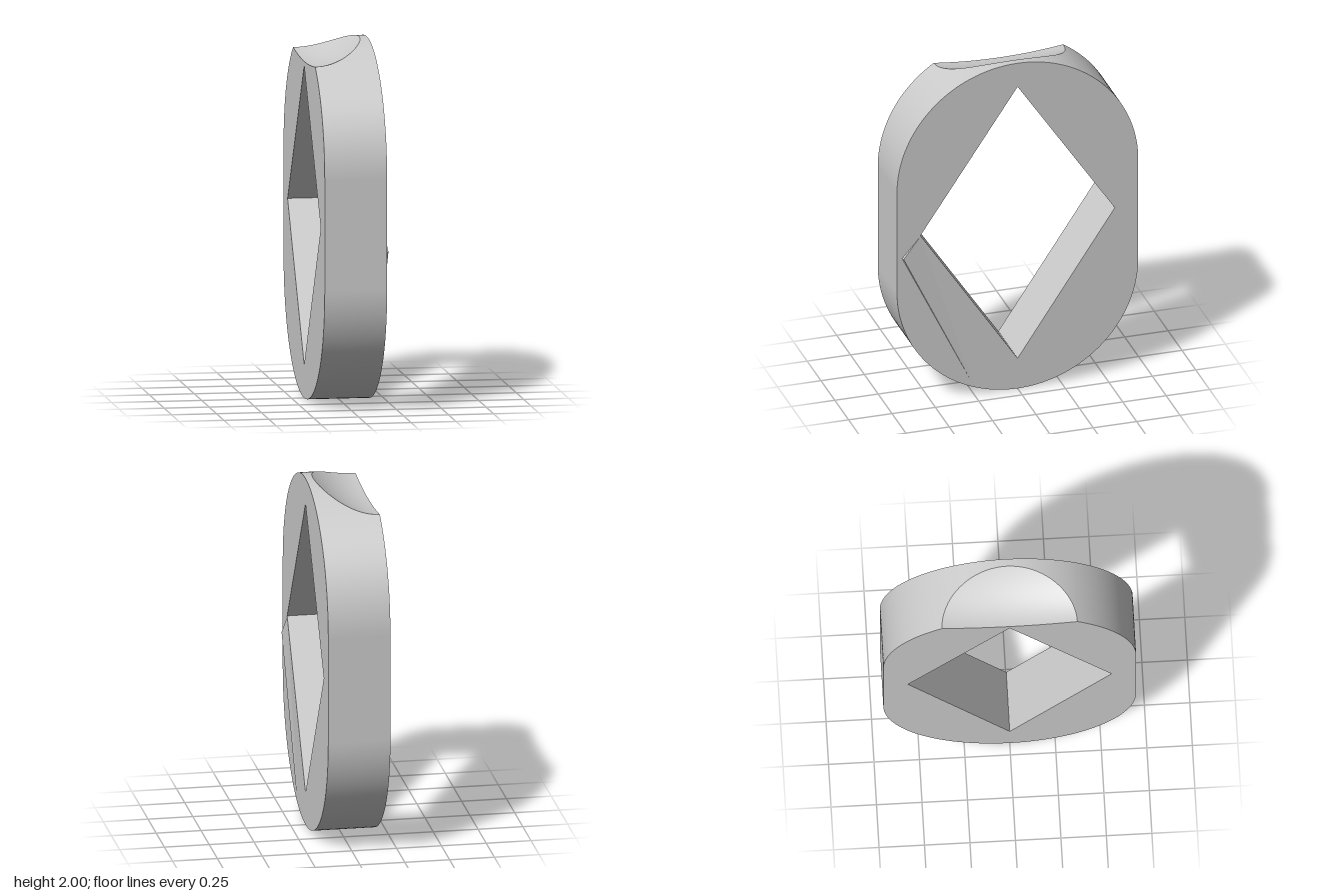
import * as THREE from 'three';

const XB = -0.18, XF = 0.167;            // the two flat faces
const R = 0.695, YT = 1.305, YB = 0.695; // rounded ends
const SX = 0.305, SZ = 0.372, SY = 1.868; // scoop half-axes and deepest height

const archY = (z) => YT + Math.sqrt(R * R - z * z);
// x where the scoop's rim meets the outer wall
const rimX = (z) => XB + SX * Math.sqrt(Math.max(0, 1 - (z / SZ) ** 2));
// height of the scoop floor: a bowl blended from its low point to its rim
function scoopY(x, z) {
  const a = (x - XB) / SX, b = z / SZ, s = Math.hypot(a, b);
  if (s < 1e-6) return SY;
  return SY + (archY(SZ * b / s) - SY) * s * s;
}

// Surface through rows of points
function loft(rows, flat = false) {
  const n = rows[0].length, index = [];
  for (let j = 0; j < rows.length - 1; j++)
    for (let i = 0; i < n - 1; i++) {
      const a = j * n + i, b = a + n;
      index.push(a, b, a + 1, b, b + 1, a + 1);
    }
  let g = new THREE.BufferGeometry();
  g.setAttribute('position', new THREE.Float32BufferAttribute(rows.flat(2), 3));
  g.setIndex(index);
  if (flat) g = g.toNonIndexed();
  g.computeVertexNormals();
  return g;
}

// Outline as [u, y] with u = -z, counter-clockwise seen from +x
function outline() {
  const pts = [], a0 = Math.acos(SZ / R), N = 24;
  for (let i = 0; i < N; i++) {
    const a = a0 * i / N;
    pts.push([R * Math.cos(a), YT + R * Math.sin(a)]);
  }
  for (let i = 0; i <= 40; i++) {
    const u = SZ * Math.cos(Math.PI * i / 40);
    pts.push([u, archY(u), true]);
  }
  for (let i = 1; i <= N; i++) {
    const a = Math.PI - a0 + a0 * i / N;
    pts.push([R * Math.cos(a), YT + R * Math.sin(a)]);
  }
  for (let i = 0; i <= 64; i++) {
    const a = Math.PI * (1 + i / 64);
    pts.push([R * Math.cos(a), YB + R * Math.sin(a)]);
  }
  return pts;
}

const diamond = (top) => [[0.56, 1.025], [0, 0.185], [-0.56, 1.025], [0, top]];

function faceGeometry(pts, hole) {
  const v = (p) => new THREE.Vector2(p[0], p[1]);
  const shape = new THREE.Shape(pts.map(v));
  shape.holes.push(new THREE.Path(hole.map(v)));
  return new THREE.ShapeGeometry(shape);
}

export function createModel() {
  const group = new THREE.Group();
  const material = new THREE.MeshStandardMaterial({ color: 0xcccccc });
  const add = (name, geometry, mat = material) => {
    const mesh = new THREE.Mesh(geometry, mat);
    mesh.name = name;
    group.add(mesh);
  };
  const pts = outline();

  // Outer wall, cut back where the scoop bites into the top
  add('outerWall', loft([...pts, pts[0]].map(([u, y, cut]) =>
    [[cut ? rimX(u) : XB, y, -u], [XF, y, -u]])));

  // Flat faces; the one on the scoop's open side dips at the top
  const near = diamond(1.855), far = diamond(1.843);
  add('frontFace', faceGeometry(pts, near).rotateY(Math.PI / 2).translate(XF, 0, 0));
  const dipped = pts.map(([u, y, cut]) => [u, cut ? scoopY(XB, u) : y]);
  add('rearFace', faceGeometry(dipped, far).rotateY(-Math.PI / 2).translate(XB, 0, 0));

  // Walls of the diamond opening
  add('diamondWall', loft([0, 1, 2, 3, 0].map((i) =>
    [[XB, far[i][1], -far[i][0]], [XF, near[i][1], -near[i][0]]]), true));

  // Scooped hollow in the top
  const rows = [];
  for (let j = 0; j <= 40; j++) {
    const z = -SZ * Math.cos(Math.PI * j / 40), row = [];
    for (let i = 0; i <= 20; i++) {
      const x = XB + (rimX(z) - XB) * i / 20;
      row.push([x, scoopY(x, z), z]);
    }
    rows.push(row);
  }
  add('scoop', loft(rows));

  // Slightly raised sliver on the front face
  const tip = [0.18, 0.9, 0.66], corner = [XF, 1.02, 0.56], low = [XF, 0.05, 0.25];
  const foot = [XF, 0.9, 0.665];
  add('raisedSliver', loft([[corner, corner], [tip, foot], [low, low]], true),
    new THREE.MeshStandardMaterial({ color: 0xcccccc, side: THREE.DoubleSide }));
  const sliverTop = new THREE.BufferGeometry();
  sliverTop.setAttribute('position', new THREE.Float32BufferAttribute([corner, tip, low].flat(), 3));
  sliverTop.computeVertexNormals();
  add('raisedSliverTop', sliverTop,
    new THREE.MeshStandardMaterial({ color: 0xcccccc, side: THREE.DoubleSide }));
  return group;
}
